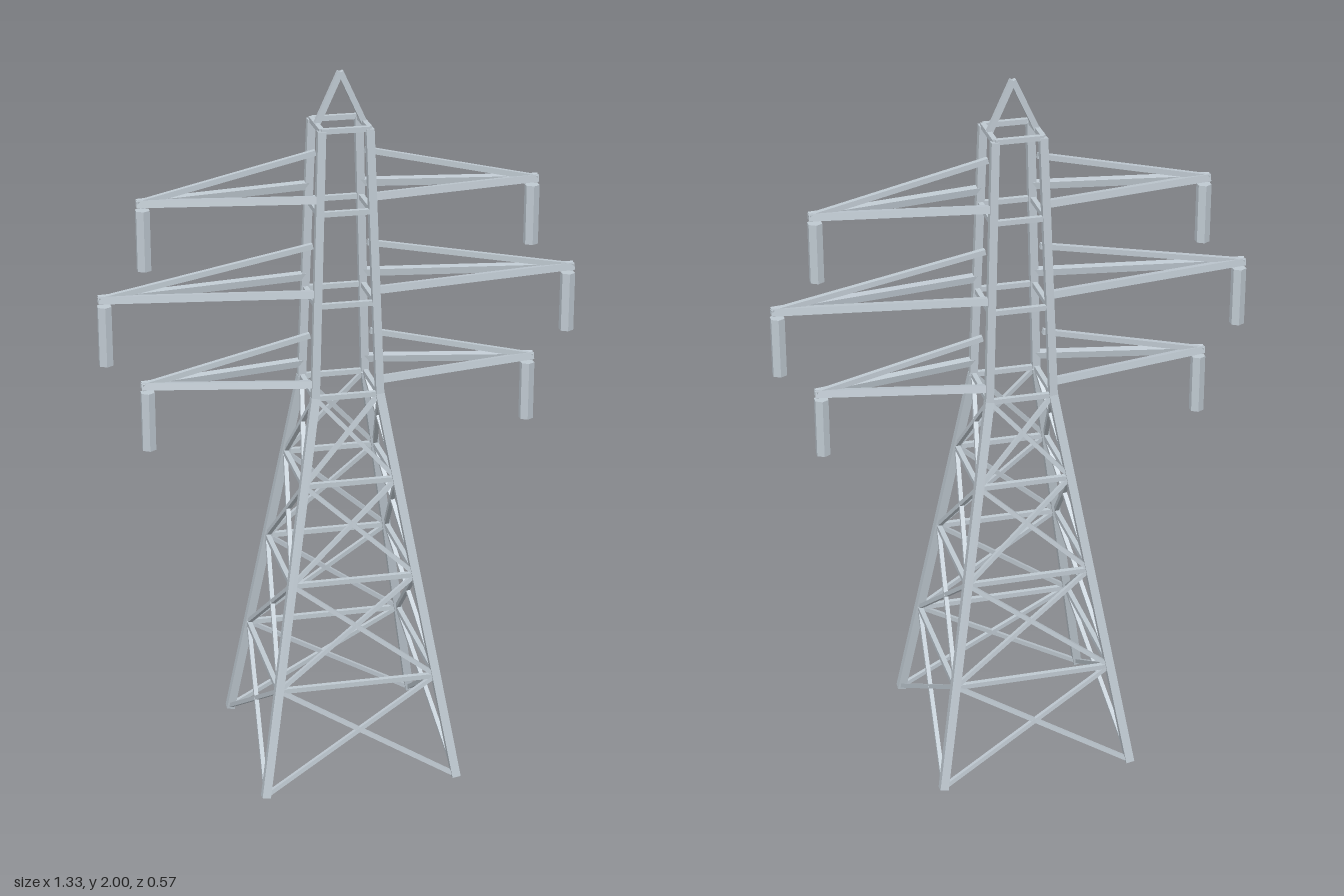
import * as THREE from 'three';

const BASE = 0.275, WAIST = 0.09, TOP = 0.065;
const WAIST_Y = 1.115, TOP_Y = 1.855;

// Half width of the tower body at height y
function half(y) {
  return y < WAIST_Y
    ? THREE.MathUtils.lerp(BASE, WAIST, y / WAIST_Y)
    : THREE.MathUtils.lerp(WAIST, TOP, (y - WAIST_Y) / (TOP_Y - WAIST_Y));
}

export function createModel() {
  const model = new THREE.Group();
  model.name = 'transmissionTower';
  const steel = new THREE.MeshStandardMaterial({ color: 0xbfc9d1, flatShading: true });
  const up = new THREE.Vector3(0, 1, 0);

  function group(name) {
    const g = new THREE.Group();
    g.name = name;
    model.add(g);
    return g;
  }

  // Square bar between two points
  function bar(parent, name, a, b, width) {
    const from = new THREE.Vector3(...a), to = new THREE.Vector3(...b);
    const dir = to.clone().sub(from);
    const mesh = new THREE.Mesh(new THREE.BoxGeometry(width, dir.length(), width), steel);
    mesh.position.copy(from).add(to).multiplyScalar(0.5);
    mesh.quaternion.setFromUnitVectors(up, dir.normalize());
    mesh.name = name;
    parent.add(mesh);
  }

  // Four legs, bent at the waist
  const legs = group('legs');
  for (const sx of [-1, 1]) for (const sz of [-1, 1]) {
    const at = (y) => [sx * half(y), y, sz * half(y)];
    bar(legs, 'lowerLeg', at(0.004), at(WAIST_Y), 0.024);
    bar(legs, 'upperLeg', at(WAIST_Y), at(TOP_Y), 0.022);
  }

  // Horizontal rings and crossed braces on each of the four faces
  const rings = group('horizontalRings');
  const braces = group('crossBraces');
  const levels = [0.008, 0.305, 0.6, 0.875, WAIST_Y, 1.375, 1.63, TOP_Y];
  for (let face = 0; face < 4; face++) {
    const c = Math.round(Math.cos(face * Math.PI / 2));
    const s = Math.round(Math.sin(face * Math.PI / 2));
    const corner = (side, y) => {
      const h = half(y);
      return [h * (side * c + s), y, h * (c - side * s)];
    };
    levels.forEach((y, i) => {
      if (i > 0) bar(rings, 'ringBar', corner(-1, y), corner(1, y), 0.014);
      if (i < 4) for (const side of [-1, 1]) {
        bar(braces, 'brace', corner(side, y), corner(-side, levels[i + 1]), 0.012);
      }
    });
  }

  // Crossarms with a tie above and a hanging insulator at each tip
  const arms = group('crossarms');
  for (const [y, reach] of [[1.155, 0.55], [1.41, 0.66], [1.67, 0.55]]) {
    for (const side of [-1, 1]) {
      const tip = [side * reach, y, 0];
      const h = half(y);
      for (const sz of [-1, 1]) bar(arms, 'armBeam', [side * h, y, sz * h], tip, 0.02);
      bar(arms, 'armTie', [side * half(y + 0.11), y + 0.11, 0], tip, 0.015);
      const insulator = new THREE.Mesh(new THREE.CylinderGeometry(0.021, 0.021, 0.167, 6), steel);
      insulator.position.set(side * (reach - 0.015), y - 0.1015, 0);
      insulator.name = 'insulator';
      arms.add(insulator);
    }
  }

  // Pointed peak
  const peak = group('peak');
  for (const side of [-1, 1]) bar(peak, 'peakBar', [side * TOP, TOP_Y, 0], [0, 1.996, 0], 0.016);

  return model;
}
